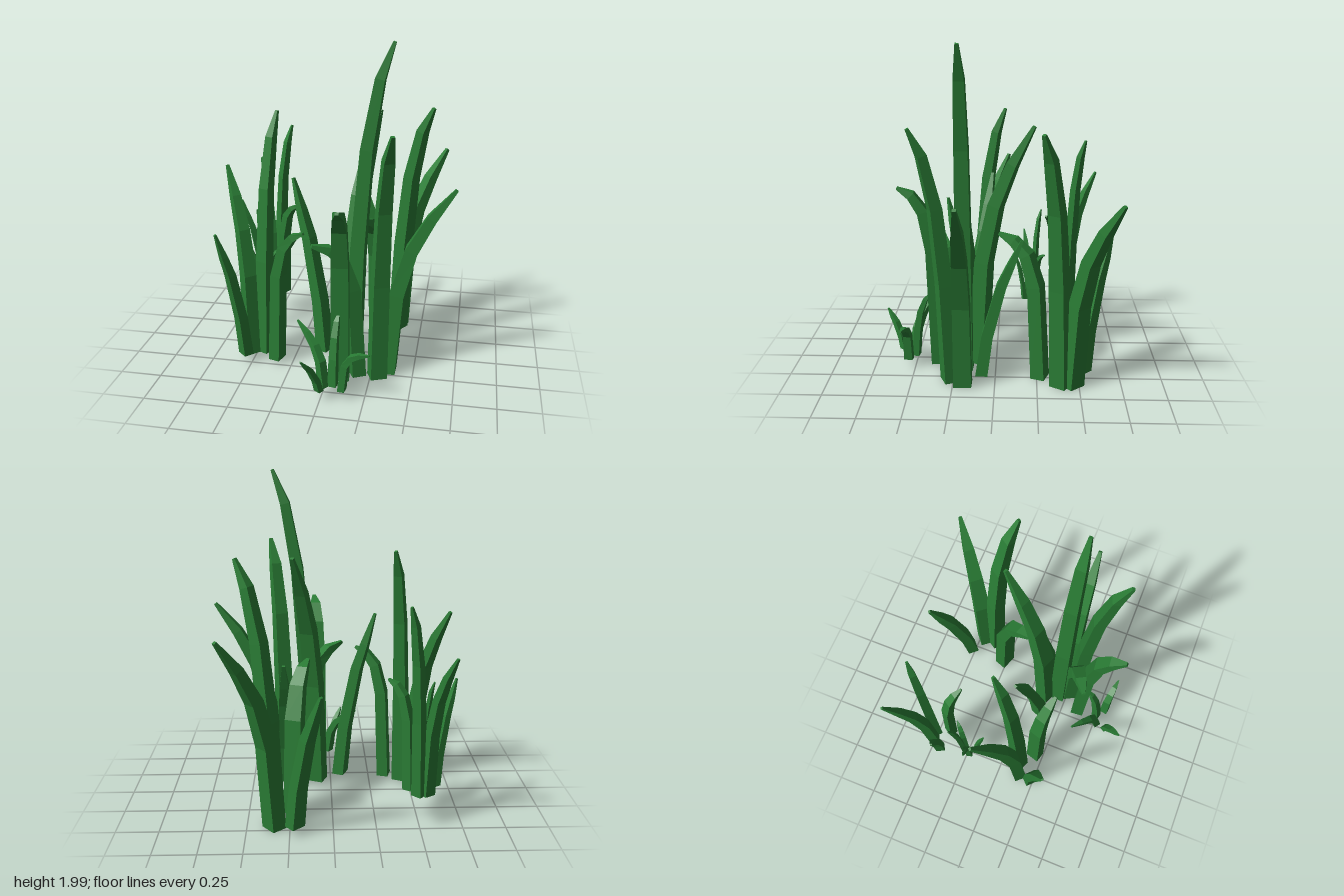
import * as THREE from 'three';

const green = new THREE.MeshStandardMaterial({ color: 0x2a7d35, flatShading: true });

// Four blade kinds: path points [height, outward reach] as fractions, width and depth at the foot
const KINDS = [
  { name: 'broadBlade', path: [[0, 0], [0.44, 0.12], [0.68, 0.34], [0.85, 0.64], [1, 1]], width: 0.095, depth: 0.085 },
  { name: 'tallBlade', path: [[0, 0], [0.4, 0.13], [0.7, 0.34], [0.9, 0.66], [1, 1]], width: 0.09, depth: 0.08 },
  { name: 'slimBlade', path: [[0, 0], [0.3, 0.15], [0.67, 0.5], [0.82, 0.73], [1, 1]], width: 0.08, depth: 0.065 },
  { name: 'droopingBlade', path: [[0, 0], [0.66, 0.12], [0.87, 0.34], [0.96, 0.64], [1, 1]], width: 0.095, depth: 0.075 },
];
const TAPER = [1, 0.93, 0.8, 0.62, 0.2];

// A box whose rows of corners are moved onto a bent, tapering path
function blade(kind, size, [bx, bz, tx, tz, y0, y1]) {
  const reach = Math.hypot(tx - bx, tz - bz);
  const out = new THREE.Vector3((tx - bx) / reach, 0, (tz - bz) / reach);
  const up = new THREE.Vector3(0, 1, 0);
  const side = new THREE.Vector3().crossVectors(out, up);
  const pts = kind.path.map(([h, r]) => new THREE.Vector2(r * reach, y0 + h * (y1 - y0)));
  const last = pts.length - 1;

  const geo = new THREE.BoxGeometry(1, 1, 1, 1, last, 1);
  const pos = geo.attributes.position;
  const v = new THREE.Vector3();
  for (let k = 0; k < pos.count; k++) {
    const i = Math.round((pos.getY(k) + 0.5) * last);
    const dir = i === 0 ? new THREE.Vector2(0, 1)
      : pts[Math.min(i + 1, last)].clone().sub(pts[i - 1]).normalize();
    const a = pos.getX(k) * kind.depth * size * TAPER[i];
    const b = pos.getZ(k) * kind.width * size * TAPER[i];
    v.set(bx, 0, bz)
      .addScaledVector(out, pts[i].x + a * dir.y)
      .addScaledVector(up, pts[i].y - a * dir.x)
      .addScaledVector(side, b);
    pos.setXYZ(k, v.x, v.y, v.z);
  }
  geo.computeVertexNormals();
  const mesh = new THREE.Mesh(geo, green);
  mesh.name = kind.name;
  return mesh;
}

// One blade of each kind: foot x, foot z, tip x, tip z, foot y, tip y
function tuft(name, size, blades) {
  const group = new THREE.Group();
  group.name = name;
  blades.forEach((b, i) => group.add(blade(KINDS[i], size, b)));
  return group;
}

export function createModel() {
  const model = new THREE.Group();
  model.name = 'grassClump';
  model.add(
    tuft('rightTuft', 0.95, [
      [-0.52, 0.14, -0.705, -0.065, 0.03, 1.19],
      [-0.45, 0.12, -0.375, -0.045, 0.03, 1.55],
      [-0.54, 0.23, -0.66, 0.355, 0.06, 0.89],
      [-0.35, 0.195, -0.16, 0.25, 0.03, 0.89],
    ]),
    tuft('backRightTuft', 0.72, [
      [-0.54, -0.465, -0.65, -0.65, 0.21, 1.08],
      [-0.49, -0.475, -0.41, -0.56, 0.21, 1.34],
      [-0.59, -0.4, -0.705, -0.34, 0.24, 0.87],
      [-0.445, -0.385, -0.32, -0.31, 0.21, 0.86],
    ]),
    tuft('smallRightTuft', 0.4, [
      [-0.55, -0.205, -0.66, -0.17, 0.2, 0.67],
      [-0.545, -0.24, -0.59, -0.285, 0.2, 0.83],
      [-0.515, -0.175, -0.485, -0.11, 0.21, 0.55],
      [-0.51, -0.25, -0.445, -0.31, 0.2, 0.55],
    ]),
    tuft('smallFrontTuft', 0.55, [
      [0.01, 0.515, -0.17, 0.38, 0.06, 0.4],
      [0.06, 0.5, 0.08, 0.4, 0.06, 0.48],
      [-0.005, 0.585, -0.085, 0.695, 0.07, 0.31],
      [0.12, 0.54, 0.28, 0.565, 0.06, 0.31],
    ]),
    tuft('leftTuft', 1.12, [
      [0.345, 0.19, 0.71, 0.195, 0.01, 1.19],
      [0.29, 0.27, 0.375, 0.475, 0.01, 1.55],
      [0.28, 0.08, 0.285, -0.155, 0.05, 0.89],
      [0.165, 0.27, -0.08, 0.4, 0.02, 0.88],
    ]),
    tuft('backLeftTuft', 1.12, [
      [0.34, -0.46, 0.615, -0.69, 0.01, 1.19],
      [0.345, -0.39, 0.54, -0.265, 0.01, 1.55],
      [0.22, -0.525, 0.07, -0.695, 0.05, 0.89],
      [0.23, -0.27, 0.14, -0.02, 0.01, 0.89],
    ]),
    tuft('centreTuft', 1.12, [
      [0.09, 0.11, 0.225, -0.22, 0.04, 1.54],
      [0.13, 0.19, 0.345, 0.2, 0.01, 2],
      [-0.06, 0.12, -0.265, 0.03, 0.08, 1.16],
      [0.08, 0.36, 0.1, 0.585, 0.03, 1.15],
    ]),
  );
  return model;
}
